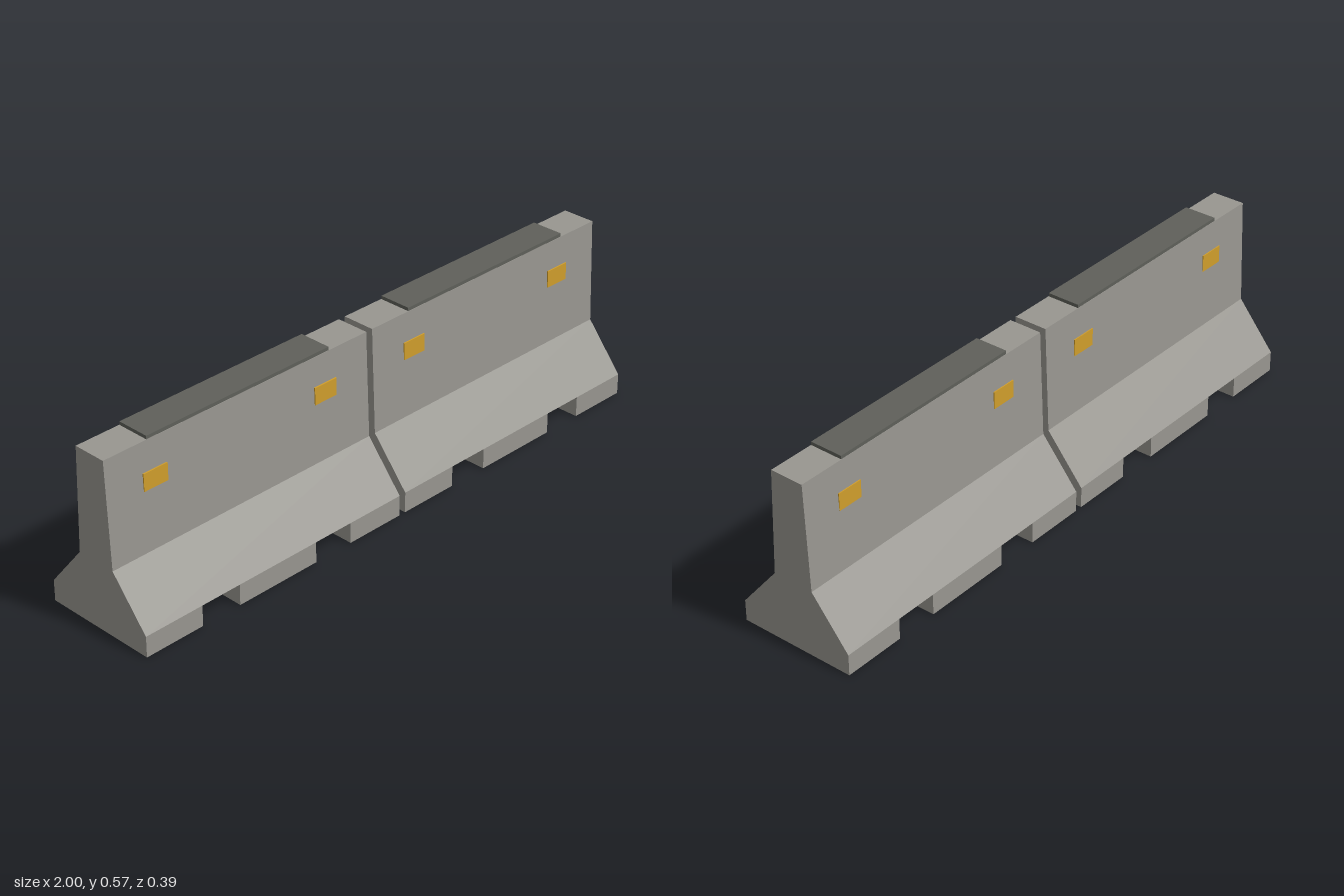
import * as THREE from 'three';

const concrete = new THREE.MeshStandardMaterial({ color: 0x989690 });
concrete.name = 'concrete';
const darkConcrete = new THREE.MeshStandardMaterial({ color: 0x5f605a });
darkConcrete.name = 'darkConcrete';
const amber = new THREE.MeshStandardMaterial({ color: 0xd09e2c });
amber.name = 'amber';

const HALF = 0.494; // half the length of one barrier
const FOOT_H = 0.068;
const BASE_Z = 0.193;

// Box given by its x, y and z ranges
function box(name, material, [x0, x1], [y0, y1], [z0, z1]) {
  const mesh = new THREE.Mesh(new THREE.BoxGeometry(x1 - x0, y1 - y0, z1 - z0), material);
  mesh.position.set((x0 + x1) / 2, (y0 + y1) / 2, (z0 + z1) / 2);
  mesh.name = name;
  return mesh;
}

function createBarrier() {
  const barrier = new THREE.Group();

  // Flared wall: the end profile extruded along x
  const profile = new THREE.Shape([
    [-BASE_Z, FOOT_H], [BASE_Z, FOOT_H], [0.068, 0.22],
    [0.055, 0.562], [-0.055, 0.562], [-0.068, 0.22],
  ].map(([z, y]) => new THREE.Vector2(z, y)));
  const geometry = new THREE.ExtrudeGeometry(profile, { depth: HALF * 2, bevelEnabled: false });
  geometry.translate(0, 0, -HALF).rotateY(-Math.PI / 2);
  const wall = new THREE.Mesh(geometry, concrete);
  wall.name = 'wall';
  barrier.add(wall);

  // Feet with drainage gaps between them
  for (const span of [[-HALF, -0.289], [-0.149, 0.149], [0.289, HALF]]) {
    barrier.add(box('foot', concrete, span, [0, FOOT_H], [-BASE_Z, BASE_Z]));
  }

  // Dark strip along the top
  barrier.add(box('topStrip', darkConcrete, [-0.342, 0.342], [0.562, 0.573], [-0.054, 0.054]));

  // Reflectors on both faces
  for (const x of [-0.322, 0.322]) {
    for (const side of [-1, 1]) {
      const z = side > 0 ? [0.056, 0.063] : [-0.062, -0.055];
      barrier.add(box('reflector', amber, [x - 0.043, x + 0.043], [0.411, 0.467], z));
    }
  }
  return barrier;
}

export function createModel() {
  const model = new THREE.Group();
  model.name = 'concreteBarriers';
  for (const side of [-1, 1]) {
    const barrier = createBarrier();
    barrier.name = side < 0 ? 'rightBarrier' : 'leftBarrier';
    barrier.position.x = side * (1 - HALF);
    model.add(barrier);
  }
  return model;
}
